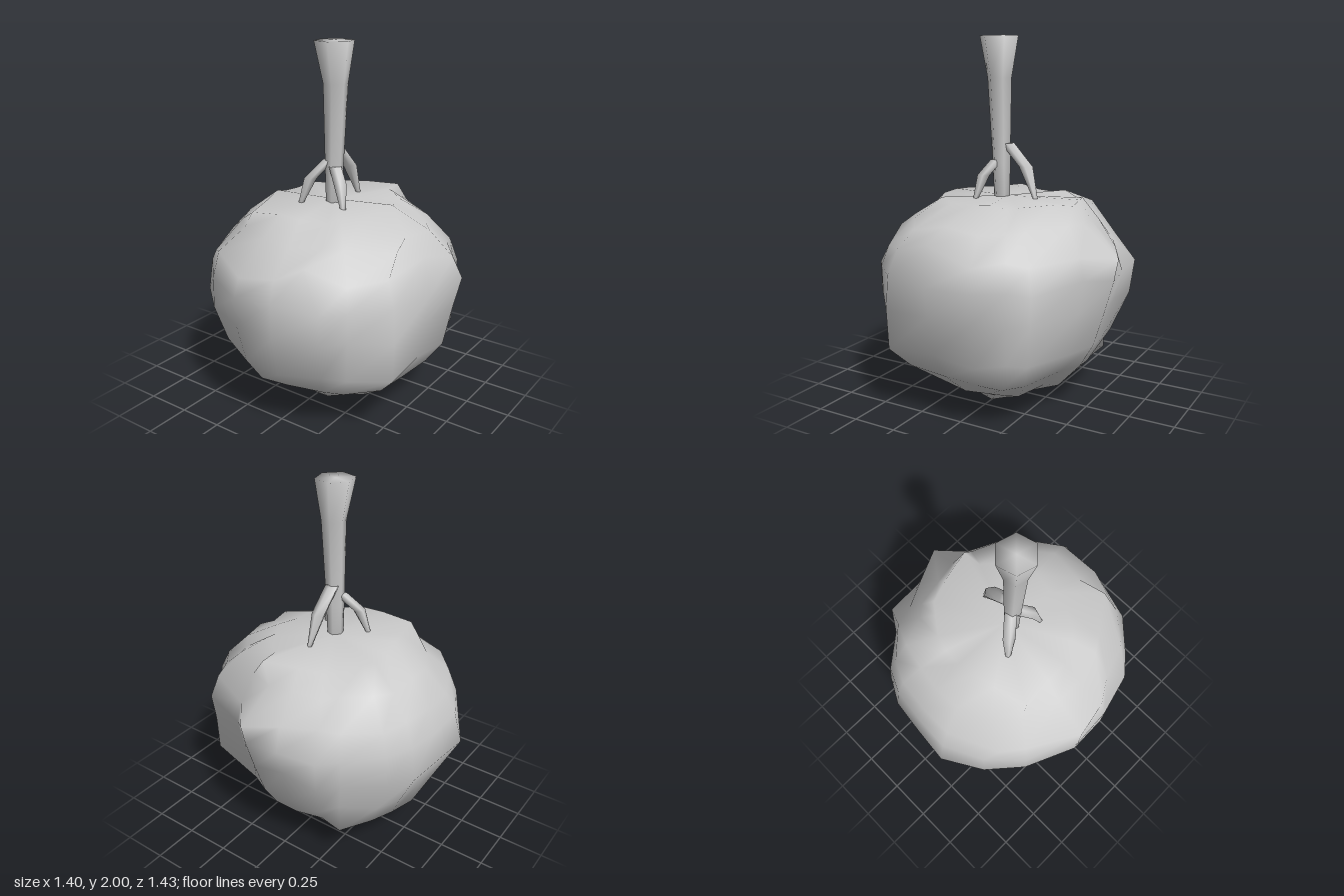
import * as THREE from 'three';

const grey = new THREE.MeshStandardMaterial({ color: 0xcccccc, side: THREE.DoubleSide });

// Skin a stack of rings (bottom to top) and close each end with an apex
function skin(name, rings, bottom, top) {
  const n = rings[0].length, pos = [], idx = [];
  rings.forEach(r => r.forEach(p => pos.push(...p)));
  const b = rings.length * n, last = b - n;
  pos.push(...bottom, ...top);
  for (let i = 0; i < n; i++) {
    const j = (i + 1) % n;
    for (let k = 0; k < rings.length - 1; k++) {
      const p = k * n, q = p + n;
      idx.push(p + i, q + i, p + j, p + j, q + i, q + j);
    }
    idx.push(b, i, j, b + 1, last + j, last + i);
  }
  const g = new THREE.BufferGeometry();
  g.setAttribute('position', new THREE.Float32BufferAttribute(pos, 3));
  g.setIndex(idx);
  g.computeVertexNormals();
  const mesh = new THREE.Mesh(g, grey);
  mesh.name = name;
  return mesh;
}

// Tapered limb through [x, y, z, radius] stations, bottom to top
function limb(name, stations, sides, turn = 0) {
  const rings = stations.map(([x, y, z, r]) => Array.from({ length: sides }, (_, i) => {
    const a = turn + i / sides * Math.PI * 2;
    return [x + r * Math.cos(a), y, z + r * Math.sin(a)];
  }));
  return skin(name, rings, stations[0].slice(0, 3), stations.at(-1).slice(0, 3));
}

// Lumpy crown: widest outline [x, z, height of the lump]
const outline = [
  [-0.19, -0.72, 0.6], [0.03, -0.70, 0.6], [0.24, -0.68, 0.6], [0.39, -0.61, 0.6], [0.54, -0.42, 0.6],
  [0.66, -0.34, 0.68], [0.67, -0.10, 0.75], [0.70, 0.09, 0.88], [0.59, 0.24, 0.6], [0.46, 0.57, 0.55],
  [0.33, 0.60, 0.5], [0.18, 0.71, 0.77], [-0.10, 0.67, 0.6], [-0.40, 0.67, 0.42], [-0.54, 0.46, 0.55],
  [-0.63, 0.35, 0.65], [-0.69, 0.10, 0.7], [-0.70, -0.13, 0.75], [-0.57, -0.41, 0.78], [-0.41, -0.59, 0.65]
];
// Reach of the crown at each height: [y, +x, +z, -x, -z]
const levels = [
  [0.05, 0.20, 0.24, 0.16, 0.16], [0.12, 0.36, 0.40, 0.35, 0.36], [0.25, 0.50, 0.57, 0.56, 0.57],
  [0.38, 0.58, 0.66, 0.66, 0.61], [0.60, 0.64, 0.69, 0.70, 0.71], [0.77, 0.68, 0.72, 0.70, 0.68],
  [0.90, 0.66, 0.67, 0.67, 0.64], [1.03, 0.50, 0.55, 0.51, 0.53], [1.13, 0.44, 0.33, 0.40, 0.36]
];
// Distinct corners of the crown [x, y, z]
const corners = [
  [0.46, 1.14, 0.13], [0.47, 1.05, 0.19], [0.31, 1.07, -0.46], [-0.09, 1.155, -0.33], [-0.40, 1.12, -0.25],
  [-0.57, 0.96, 0.22], [-0.24, 1.02, 0.55], [-0.10, 0.97, 0.63], [0.70, 0.88, 0.09], [-0.69, 0.88, -0.10],
  [0.52, 0.90, -0.27], [0.61, 0.90, -0.09], [-0.44, 0.87, -0.49], [0.45, 0.23, -0.35], [0.42, 0.40, 0.54],
  [0.26, 0.24, 0.52], [0.28, 0.06, -0.12], [-0.20, 0.07, 0.10]
];

function crown() {
  const reach = (l, c, s) => l[c > 0 ? 1 : 3] * c * c + l[s > 0 ? 2 : 4] * s * s;
  const widest = [0, 0.70, 0.72, 0.70, 0.71];
  const rings = levels.map((l, k) => outline.map(([x, z, peak], i) => {
    const R = Math.hypot(x, z), c = x / R, s = z / R;
    const lump = R / reach(widest, c, s) - 1;
    const near = Math.exp(-(((l[0] - peak) / 0.28) ** 2));
    const swell = (1 + lump * (lump > 0 ? near : 1)) * (0.975 + 0.025 * near);
    const r = Math.min(R, reach(l, c, s) * swell);
    const y = l[0] + 0.012 * Math.sin(i * 2.3 + k * 1.7);
    return [r * c, y, r * s];
  }));
  // Pull the nearest point of the surface onto each corner
  const points = rings.flat();
  for (const corner of corners) {
    const gap = p => Math.hypot(p[0] - corner[0], p[1] - corner[1], p[2] - corner[2]);
    const near = points.reduce((a, b) => (gap(b) < gap(a) ? b : a));
    corner.forEach((v, i) => { near[i] = v; });
  }
  return skin('crown', rings, [0, 0, 0.18], [0, 1.14, 0]);
}

export function createModel() {
  const model = new THREE.Group();
  model.name = 'upturnedTree';
  model.add(crown());

  // Six-sided trunk flaring towards its free end
  model.add(limb('trunk', [
    [-0.025, 1.12, 0.015, 0.045], [-0.028, 1.32, 0.018, 0.05],
    [-0.032, 1.78, 0.03, 0.067], [-0.038, 2, 0.025, 0.107]
  ], 6, Math.PI / 4));

  // Three bent branches running from the trunk into the crown
  const branches = {
    leftBranch: [[0.19, 1.14, 0.03, 0.014], [0.125, 1.31, 0.015, 0.04], [0.01, 1.43, 0.01, 0.04]],
    backBranch: [[-0.14, 1.13, -0.125, 0.015], [-0.105, 1.27, -0.085, 0.036], [-0.04, 1.37, -0.01, 0.035]],
    frontBranch: [[-0.12, 1.13, 0.14, 0.015], [-0.09, 1.26, 0.10, 0.036], [-0.045, 1.34, 0.035, 0.035]]
  };
  for (const [name, path] of Object.entries(branches)) model.add(limb(name, path, 5));
  return model;
}
